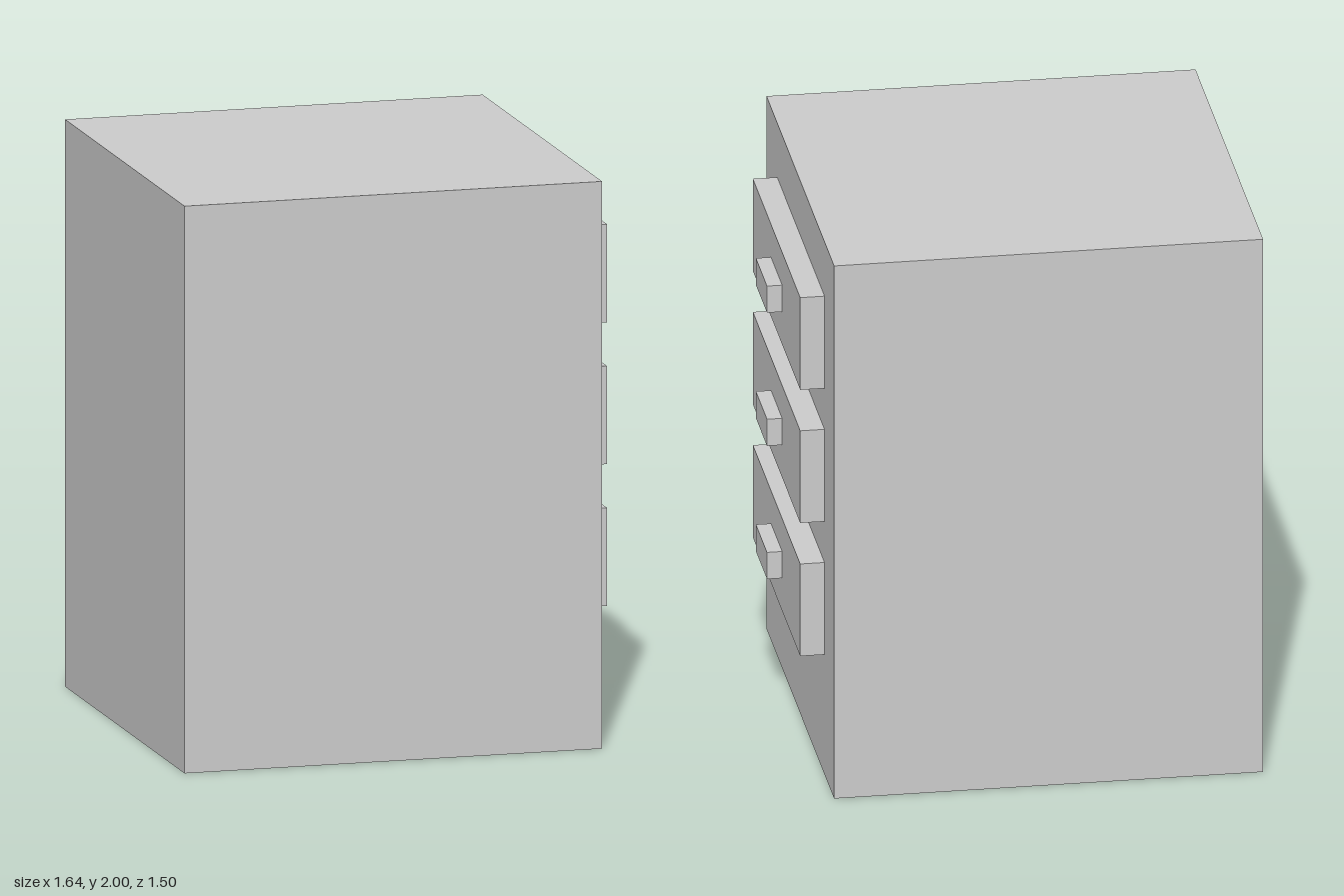
import * as THREE from 'three';

const material = new THREE.MeshStandardMaterial({ color: 0xcccccc, flatShading: true });

// Box spanning the given [min, max] ranges
function box(name, [x0, x1], [y0, y1], [z0, z1]) {
  const mesh = new THREE.Mesh(new THREE.BoxGeometry(x1 - x0, y1 - y0, z1 - z0), material);
  mesh.position.set((x0 + x1) / 2, (y0 + y1) / 2, (z0 + z1) / 2);
  mesh.name = name;
  return mesh;
}

export function createModel() {
  const model = new THREE.Group();
  model.name = 'drawerCabinet';

  // Cabinet body
  model.add(box('cabinet', [-0.818, 0.68], [0, 2], [-0.75, 0.75]));

  // Three drawers on the +x side, each with a handle
  ['bottom', 'middle', 'top'].forEach((level, i) => {
    const y = 0.623 + i * 0.5;
    const drawer = new THREE.Group();
    drawer.name = `${level}Drawer`;
    drawer.add(
      box('drawerFront', [0.66, 0.765], [y - 0.173, y + 0.173], [-0.537, 0.513]),
      box('handle', [0.75, 0.818], [y - 0.05, y + 0.05], [-0.137, 0.11])
    );
    model.add(drawer);
  });

  return model;
}
